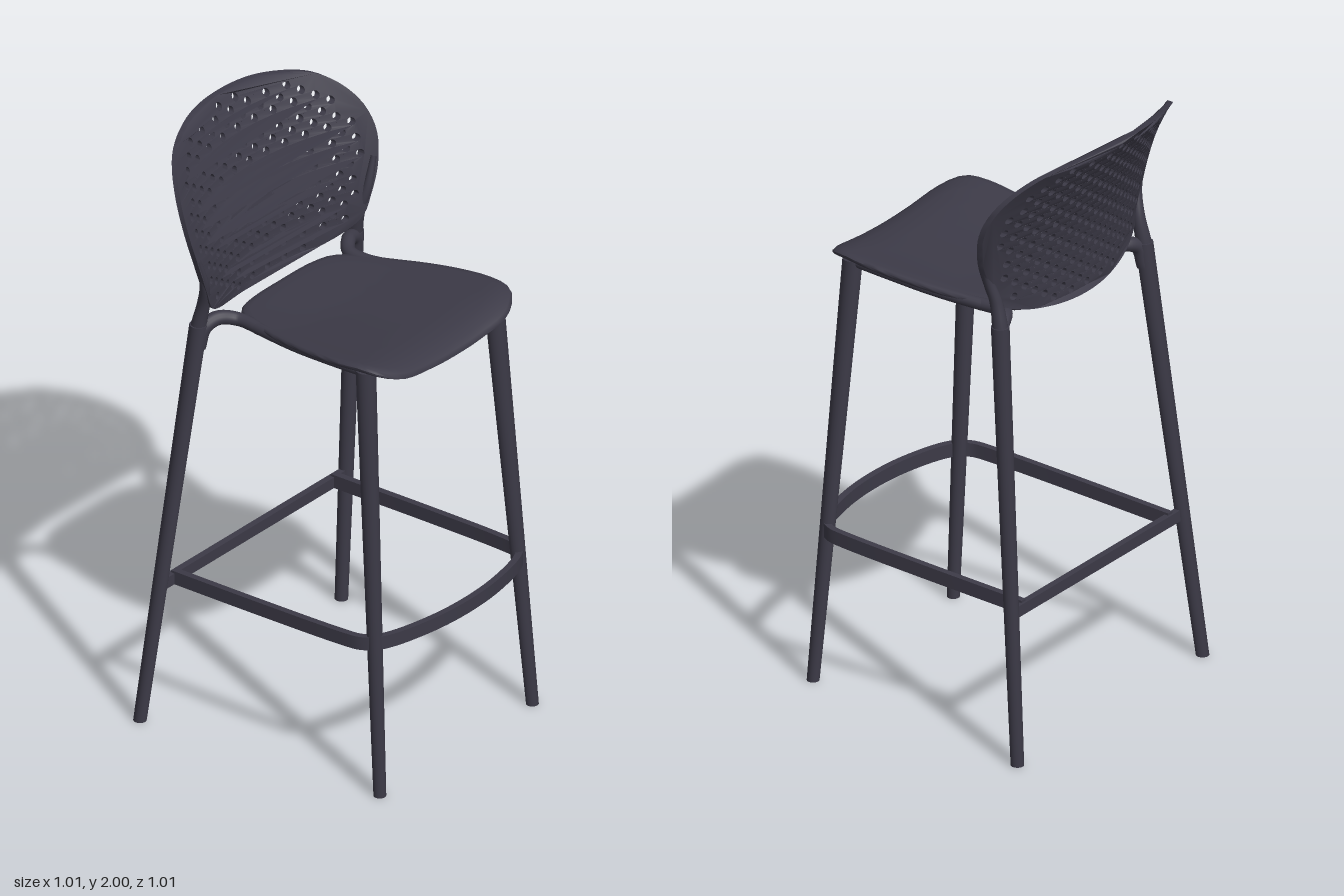
import * as THREE from 'three';
import { toCreasedNormals } from 'three/addons/utils/BufferGeometryUtils.js';

const V2 = (x, y) => new THREE.Vector2(x, y);
const V3 = (x, y, z) => new THREE.Vector3(x, y, z);

// Moves every vertex by a rule
function warp(geo, rule) {
  const p = geo.attributes.position, v = new THREE.Vector3();
  for (let i = 0; i < p.count; i++) {
    rule(v.fromBufferAttribute(p, i));
    p.setXYZ(i, v.x, v.y, v.z);
  }
  return geo;
}

// Leaning round leg with level ends
function legGeometry(foot, top, rFoot, rTop) {
  const h = top.y - foot.y;
  const geo = new THREE.CylinderGeometry(rTop, rFoot, h, 20).translate(0, h / 2, 0);
  return warp(geo, v => {
    const t = v.y / h;
    v.x += foot.x + (top.x - foot.x) * t;
    v.z += foot.z + (top.z - foot.z) * t;
    v.y += foot.y;
  });
}

// Tube whose radius changes from r0 to r1
function taperTube(points, r0, r1, segs = 32, sides = 14) {
  const path = new THREE.CatmullRomCurve3(points);
  const geo = new THREE.TubeGeometry(path, segs, 1, sides);
  const p = geo.attributes.position, v = new THREE.Vector3();
  for (let i = 0; i < p.count; i++) {
    const t = Math.floor(i / (sides + 1)) / segs, c = path.getPointAt(t);
    v.fromBufferAttribute(p, i).sub(c).multiplyScalar(r0 + (r1 - r0) * t).add(c);
    p.setXYZ(i, v.x, v.y, v.z);
  }
  return geo;
}

// Closed smooth outline from one half, listed from the centre line round to the centre line
function mirroredOutline(half, count) {
  const other = half.slice(1, -1).reverse().map(([x, y]) => [-x, y]);
  const curve = new THREE.CatmullRomCurve3([...half, ...other].map(([x, y]) => V3(x, y, 0)), true);
  return curve.getSpacedPoints(count).slice(0, count).map(p => V2(p.x, p.y));
}

function inside(poly, x, y) {
  let hit = false;
  for (let i = 0, j = poly.length - 1; i < poly.length; j = i++) {
    const a = poly[i], b = poly[j];
    if ((a.y > y) !== (b.y > y) && x < ((b.x - a.x) * (y - a.y)) / (b.y - a.y) + a.x) hit = !hit;
  }
  return hit;
}

// Perforated back, bent in both directions
function backGeometry() {
  const outline = mirroredOutline([[0, 1.41], [0.16, 1.42], [0.3, 1.45], [0.365, 1.49], [0.397, 1.56], [0.432, 1.66],
    [0.449, 1.77], [0.425, 1.865], [0.35, 1.945], [0.2, 1.988], [0, 2.0]], 110);
  const shape = new THREE.Shape(outline);
  const dx = 0.0385, dy = 0.05;
  for (let c = -11; c <= 11; c++) {
    for (let r = 0; r < 13; r++) {
      const x = c * dx, y = 1.447 + r * dy + (c & 1 ? dy / 2 : 0);
      if (!inside(outline, x * 1.14, 1.7 + (y - 1.7) * 1.09)) continue;
      shape.holes.push(new THREE.Path().absarc(x, y, 0.0125, 0, Math.PI * 2, true));
    }
  }
  const geo = new THREE.ExtrudeGeometry(shape, { depth: 0.02, bevelEnabled: false, curveSegments: 10 });
  warp(geo, v => { v.z += -0.322 - 0.6 * (v.y - 1.45) ** 2 + 0.6 * v.x * v.x; });
  return toCreasedNormals(geo, 0.75);
}

// Dished seat lofted from concentric rings, top then underside
function seatGeometry() {
  const n = 72, cz = 0.1;
  const outline = mirroredOutline([[0, -0.258], [0.14, -0.252], [0.215, -0.228], [0.26, -0.17], [0.29, -0.08], [0.325, 0.05],
    [0.349, 0.2], [0.352, 0.32], [0.33, 0.405], [0.26, 0.45], [0.12, 0.459], [0, 0.46]], n);
  const top = [[0, 0.013], [0.2, 0.013], [0.4, 0.013], [0.6, 0.013], [0.8, 0.013], [0.93, 0.013], [0.98, 0.01], [1, 0.003]];
  const rings = [...top, ...top.slice().reverse().map(([s, h]) => [s, -h])];
  const pos = [], idx = [];
  for (const [s, h] of rings) {
    for (const p of outline) {
      const x = p.x * s, z = cz + (p.y - cz) * s;
      const dish = (z < 0 ? 0.035 + 0.1 * z : 0.035) * (1 - (x / 0.35) ** 2);
      pos.push(x, 1.44 + 0.1 * z - 2.5 * Math.max(0, z - 0.34) ** 2 - dish + h, z);
    }
  }
  for (let r = 0; r < rings.length - 1; r++) {
    for (let i = 0; i < n; i++) {
      const a = r * n + i, b = r * n + (i + 1) % n;
      idx.push(a, a + n, b, b, a + n, b + n);
    }
  }
  const geo = new THREE.BufferGeometry();
  geo.setAttribute('position', new THREE.Float32BufferAttribute(pos, 3));
  // Outline runs from +x side, so flip to face outward
  for (let i = 0; i < idx.length; i += 3) [idx[i + 1], idx[i + 2]] = [idx[i + 2], idx[i + 1]];
  geo.setIndex(idx);
  // Make sure the first full top triangle looks up
  geo.computeVertexNormals();
  if (geo.attributes.normal.getY(2 * n) < 0) {
    for (let i = 0; i < idx.length; i += 3) [idx[i + 1], idx[i + 2]] = [idx[i + 2], idx[i + 1]];
    geo.setIndex(idx);
  }
  return toCreasedNormals(geo, 0.9);
}

// U-shaped footrest band, sloping down to the back
function footrestGeometry() {
  const half = [[0.385, -0.36], [0.386, 0], [0.382, 0.3], [0.366, 0.4], [0.3, 0.45], [0.15, 0.486]];
  const pts = [...half, [0, 0.497], ...half.slice().reverse().map(([x, z]) => [-x, z])];
  const curve = new THREE.SplineCurve(pts.map(([x, z]) => V2(x, -z)));
  const outer = [], inner = [];
  for (let i = 0; i <= 80; i++) {
    const p = curve.getPoint(i / 80), t = curve.getTangent(i / 80);
    outer.push(V2(p.x - t.y * 0.011, p.y + t.x * 0.011));
    inner.push(V2(p.x + t.y * 0.011, p.y - t.x * 0.011));
  }
  const geo = new THREE.ExtrudeGeometry(new THREE.Shape([...outer, ...inner.reverse()]), { depth: 0.046, bevelEnabled: false });
  geo.rotateX(-Math.PI / 2);
  warp(geo, v => { v.y += 0.467 + 0.046 * (v.z + 0.36); });
  return toCreasedNormals(geo, 0.6);
}

export function createModel() {
  const model = new THREE.Group();
  model.name = 'barStool';
  const plastic = new THREE.MeshStandardMaterial({ color: 0x3c3a47 });
  plastic.name = 'charcoalPlastic';
  const add = (name, geo) => {
    const mesh = new THREE.Mesh(geo, plastic);
    mesh.name = name;
    model.add(mesh);
    return mesh;
  };

  add('perforatedBack', backGeometry());
  add('seat', seatGeometry());
  add('footrest', footrestGeometry());
  add('rearCrossbar', new THREE.BoxGeometry(0.89, 0.038, 0.022).translate(0, 0.487, -0.357));

  for (const [side, s] of [['left', 1], ['right', -1]]) {
    add(side + 'FrontLeg', legGeometry(V3(s * 0.368, 0, 0.457), V3(s * 0.307, 1.455, 0.35), 0.02, 0.032));
    add(side + 'RearLeg', legGeometry(V3(s * 0.486, 0, -0.41), V3(s * 0.377, 1.42, -0.265), 0.021, 0.029));
    // Leg top blending into the edge of the back
    add(side + 'BackUpright', taperTube([V3(s * 0.381, 1.36, -0.271), V3(s * 0.376, 1.43, -0.262),
      V3(s * 0.375, 1.5, -0.247), V3(s * 0.393, 1.58, -0.228), V3(s * 0.424, 1.68, -0.228)], 0.0285, 0.009));
    // Arm from the rear leg curving under the seat
    add(side + 'SeatBracket', taperTube([V3(s * 0.377, 1.34, -0.268), V3(s * 0.36, 1.405, -0.256), V3(s * 0.315, 1.425, -0.238),
      V3(s * 0.268, 1.415, -0.195), V3(s * 0.268, 1.412, -0.1)], 0.026, 0.02));
    // Rail under the seat edge
    add(side + 'SeatRail', taperTube([V3(s * 0.268, 1.412, -0.12), V3(s * 0.295, 1.425, 0.05),
      V3(s * 0.31, 1.44, 0.2), V3(s * 0.308, 1.447, 0.35)], 0.02, 0.018));
  }
  return model;
}
